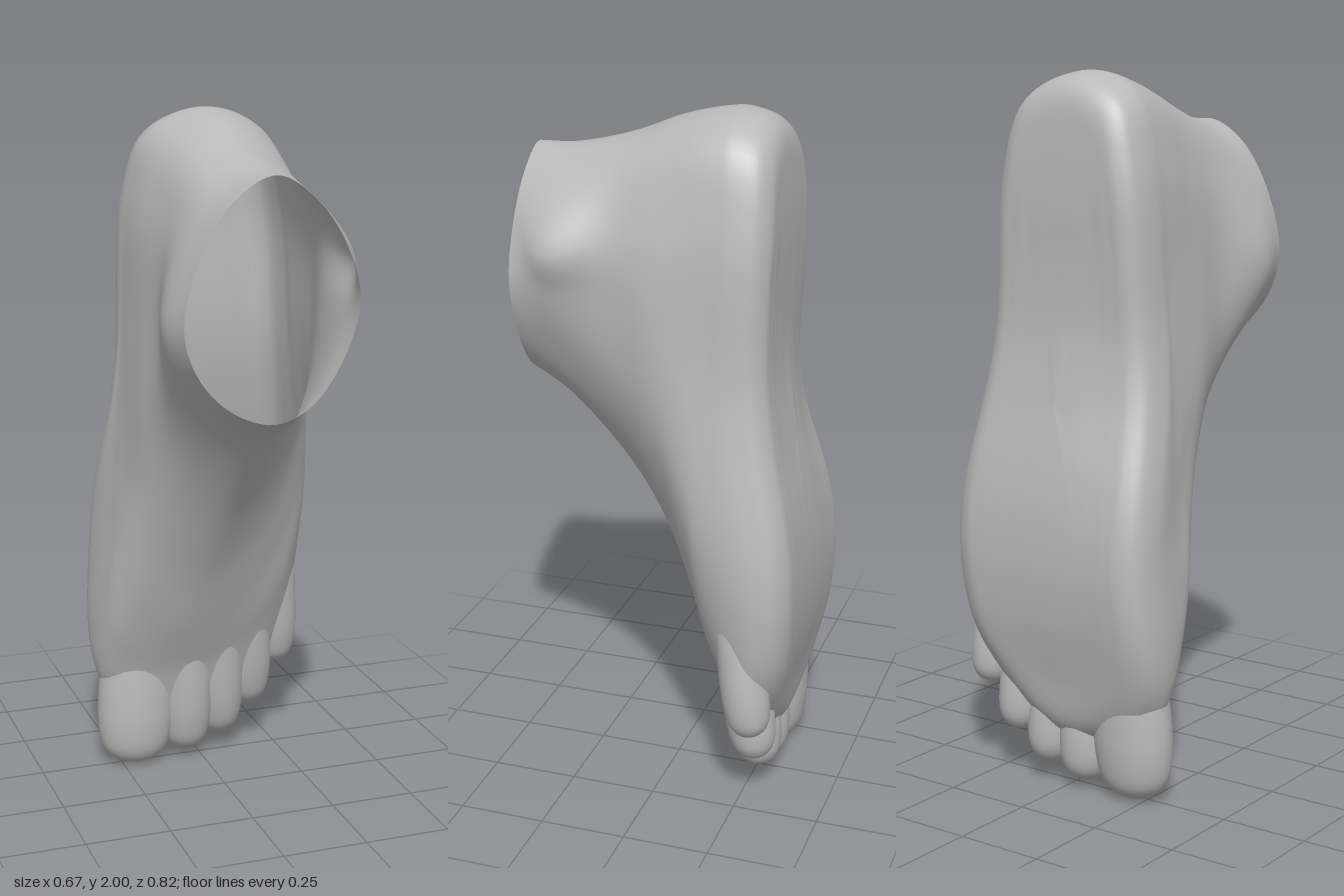
import * as THREE from 'three';

const skin = new THREE.MeshStandardMaterial({ color: 0xb9b9b9, side: THREE.DoubleSide });
skin.name = 'plain grey';

// Piecewise smooth height of the sole along the foot (y from toes to heel)
const soleCurve = new THREE.SplineCurve([
  [-0.1, -0.3], [0.1, -0.33], [0.3, -0.36], [0.5, -0.4], [0.7, -0.412], [0.9, -0.392],
  [1.1, -0.348], [1.3, -0.318], [1.5, -0.314], [1.7, -0.317], [1.9, -0.305], [2.1, -0.27],
].map(p => new THREE.Vector2(...p)));
function sole(x, y) {
  const base = soleCurve.getPoint(THREE.MathUtils.clamp((y + 0.1) / 2.2, 0, 1)).y;
  const arch = 0.03 * Math.exp(-(((y - 1.15) / 0.27) ** 2));
  return base + arch * THREE.MathUtils.smoothstep(-x, 0, 0.25);
}

// Outlines from the ankle opening back towards the sole: [z, 12 points from the toe side round]
const outlines = [
  [0.41, [0, 1.21], [0.1, 1.25], [0.19, 1.37], [0.237, 1.53], [0.195, 1.68], [0.11, 1.8],
    [0, 1.865], [-0.11, 1.81], [-0.2, 1.68], [-0.253, 1.48], [-0.215, 1.35], [-0.12, 1.25]],
  [0.3, [0, 1.13], [0.11, 1.2], [0.195, 1.36], [0.243, 1.51], [0.266, 1.62], [0.14, 1.8],
    [0, 1.87], [-0.12, 1.81], [-0.22, 1.66], [-0.278, 1.47], [-0.23, 1.31], [-0.12, 1.18]],
  [0.13, [-0.03, 0.92], [0.1, 1.03], [0.205, 1.25], [0.237, 1.5], [0.23, 1.66], [0.14, 1.84],
    [0, 1.91], [-0.13, 1.86], [-0.205, 1.7], [-0.235, 1.47], [-0.225, 1.2], [-0.14, 0.99]],
  [0, [-0.06, 0.69], [0.11, 0.82], [0.235, 1.1], [0.26, 1.42], [0.235, 1.69], [0.15, 1.89],
    [0, 1.962], [-0.14, 1.9], [-0.212, 1.73], [-0.245, 1.45], [-0.255, 1.1], [-0.19, 0.78]],
  [-0.09, [-0.07, 0.48], [0.14, 0.62], [0.277, 0.95], [0.264, 1.4], [0.24, 1.69], [0.16, 1.92],
    [0, 1.987], [-0.155, 1.92], [-0.225, 1.74], [-0.25, 1.43], [-0.27, 1.0], [-0.25, 0.59]],
  [-0.16, [-0.05, 0.33], [0.195, 0.475], [0.307, 0.82], [0.266, 1.35], [0.24, 1.71], [0.165, 1.932],
    [0, 1.998], [-0.162, 1.935], [-0.23, 1.75], [-0.255, 1.38], [-0.29, 0.86], [-0.285, 0.42]],
];
const widest = [[0, 0.14], [0.265, 0.35], [0.335, 0.67], [0.27, 1.27], [0.24, 1.71], [0.165, 1.934],
  [0, 1.997], [-0.165, 1.934], [-0.233, 1.75], [-0.261, 1.32], [-0.32, 0.74], [-0.295, 0.25]];

const AROUND = 96, ALONG = 90;

// Smooth closed outline, resampled so every ring has matching points
function ring(points, zAt) {
  const curve = new THREE.CatmullRomCurve3(points.map(([x, y]) => new THREE.Vector3(x, y, 0)), true);
  return Array.from({ length: AROUND }, (_, j) => {
    const p = curve.getPoint(j / AROUND);
    p.z = zAt(p.x, p.y);
    return p;
  });
}

function footGeometry() {
  const rings = outlines.map(([z, ...pts]) => ring(pts, () => z));
  // Rounded sole edge, then shrinking rings that close the sole: [x scale, y scale, lift]
  const edge = [[1, 1, 0.1], [0.935, 0.977, 0.034], [0.8, 0.93, 0.005], [0.65, 0.8, 0],
    [0.5, 0.62, 0], [0.35, 0.44, 0], [0.2, 0.25, 0], [0.001, 0.001, 0]];
  for (const [sx, sy, lift] of edge) {
    const pts = widest.map(([x, y]) => [x * sx, 1.1 + (y - 1.1) * sy]);
    rings.push(ring(pts, (x, y) => sole(x, y) + lift));
  }
  const columns = Array.from({ length: AROUND }, (_, j) =>
    new THREE.CatmullRomCurve3(rings.map(r => r[j])));
  const pos = [], index = [];
  for (let i = 0; i <= ALONG; i++) {
    for (let j = 0; j < AROUND; j++) {
      pos.push(...columns[j].getPoint(i / ALONG).toArray());
      if (i === ALONG) continue;
      const a = i * AROUND + j, b = i * AROUND + (j + 1) % AROUND;
      index.push(a, a + AROUND, b, b, a + AROUND, b + AROUND);
    }
  }
  const g = new THREE.BufferGeometry();
  g.setAttribute('position', new THREE.Float32BufferAttribute(pos, 3));
  g.setIndex(index);
  g.computeVertexNormals();
  return g;
}

// Toe with a round pad and an open root buried in the foot
const toeCurve = new THREE.SplineCurve([
  [0, 0], [0.5, 0.02], [0.84, 0.085], [0.98, 0.2], [1, 0.34], [0.95, 0.5],
  [0.88, 0.68], [0.7, 0.85],
].map(p => new THREE.Vector2(...p)));
function toe(name, tip, root, halfWidth, halfDepth) {
  const a = new THREE.Vector3(...tip), b = new THREE.Vector3(...root);
  const profile = toeCurve.getPoints(32).map(p => new THREE.Vector2(Math.max(p.x, 0), p.y));
  profile[0].x = 0;
  const g = new THREE.LatheGeometry(profile, 32);
  g.scale(halfWidth, a.distanceTo(b), halfDepth);
  const mesh = new THREE.Mesh(g, skin);
  mesh.name = name;
  mesh.position.copy(a);
  mesh.quaternion.setFromUnitVectors(new THREE.Vector3(0, 1, 0), b.sub(a).normalize());
  return mesh;
}

export function createModel() {
  const model = new THREE.Group();
  model.name = 'foot';
  const body = new THREE.Mesh(footGeometry(), skin);
  body.name = 'footAndAnkle';
  model.add(body);
  model.add(
    toe('bigToe', [-0.208, 0, -0.25], [-0.185, 0.62, -0.265], 0.119, 0.09),
    toe('secondToe', [-0.042, 0.02, -0.265], [-0.045, 0.62, -0.205], 0.082, 0.082),
    toe('thirdToe', [0.075, 0.055, -0.28], [0.05, 0.64, -0.195], 0.076, 0.078),
    toe('fourthToe', [0.175, 0.135, -0.295], [0.145, 0.68, -0.2], 0.074, 0.073),
    toe('littleToe', [0.268, 0.26, -0.305], [0.25, 0.72, -0.23], 0.068, 0.068),
  );
  return model;
}
